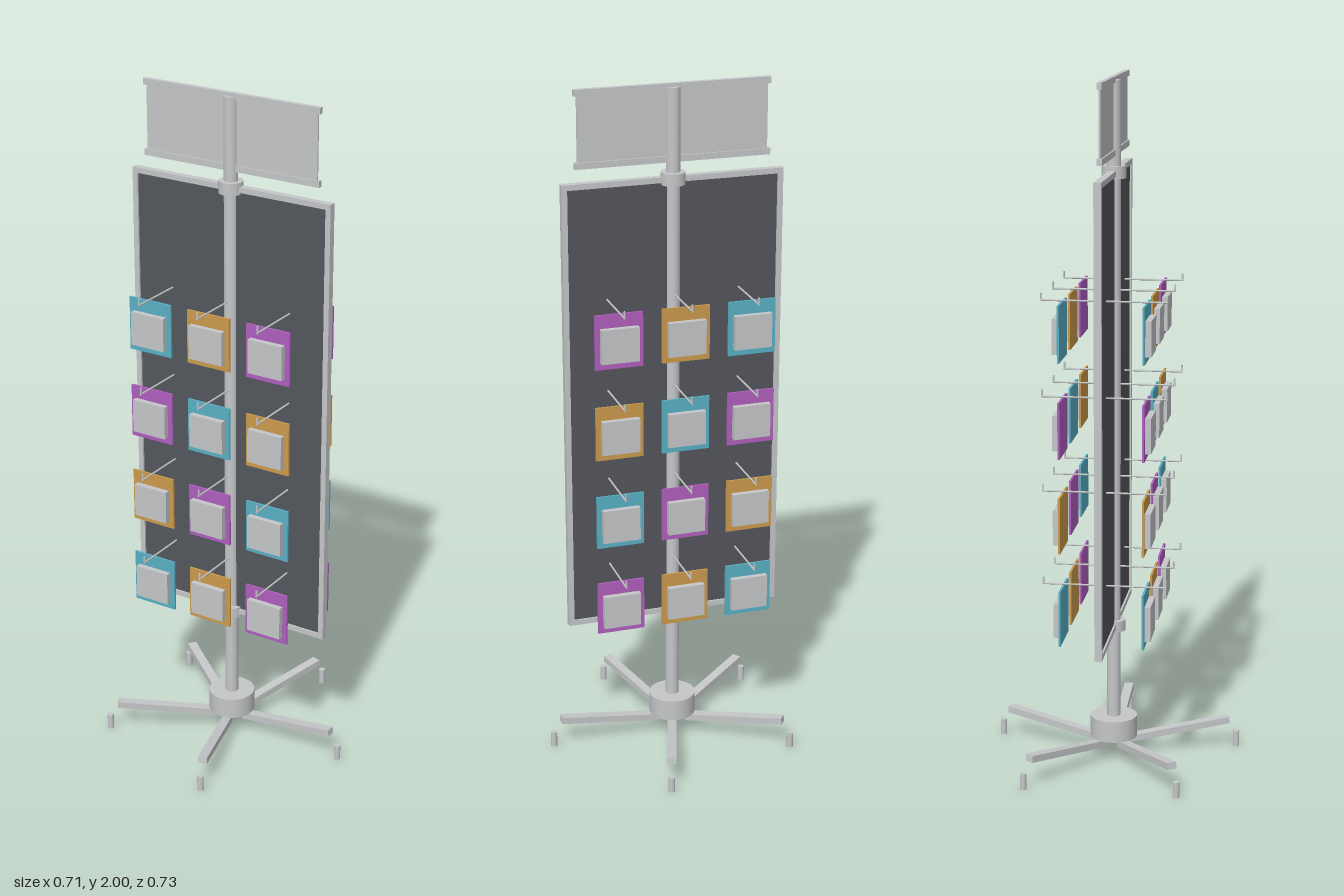
import * as THREE from 'three';

const POLE_X = -0.03;

function material(name, color) {
  const m = new THREE.MeshStandardMaterial({ color });
  m.name = name;
  return m;
}

export function createModel() {
  const root = new THREE.Group();
  root.name = 'displayStand';
  const metal = material('light grey metal', 0xc4c6c8);
  const dark = material('charcoal board', 0x53565d);
  const cardMats = [
    material('teal card', 0x58b0c4),
    material('orange card', 0xcb9a4c),
    material('purple card', 0xb05fbe),
  ];

  const add = (parent, name, geo, mat, x = 0, y = 0, z = 0) => {
    const mesh = new THREE.Mesh(geo, mat);
    mesh.name = name;
    mesh.position.set(x, y, z);
    parent.add(mesh);
    return mesh;
  };
  const box = (w, h, d) => new THREE.BoxGeometry(w, h, d);
  // upright cylinder between two heights
  const post = (parent, name, r, y0, y1, x = 0, z = 0) =>
    add(parent, name, new THREE.CylinderGeometry(r, r, y1 - y0, 32), metal, x, (y0 + y1) / 2, z);

  // everything is laid out around the pole axis
  const stand = new THREE.Group();
  stand.name = 'stand';
  stand.position.x = POLE_X;
  root.add(stand);

  // pole, collars and base hub
  post(stand, 'pole', 0.02, 0.06, 1.99);
  post(stand, 'upperCollar', 0.035, 1.717, 1.752);
  post(stand, 'lowerCollar', 0.035, 0.39, 0.422);
  post(stand, 'hub', 0.069, 0.06, 0.124);

  // five rising legs, each with a separate foot beyond its tip
  const r0 = 0.045, r1 = 0.35, yIn = 0.047, yOut = 0.086;
  for (let i = 0; i < 5; i++) {
    const arm = new THREE.Group();
    arm.name = 'legArm' + (i + 1);
    arm.rotation.y = (i * Math.PI * 2) / 5;
    stand.add(arm);
    const leg = add(arm, 'leg', box(Math.hypot(r1 - r0, yOut - yIn), 0.02, 0.028), metal,
      (r0 + r1) / 2, (yIn + yOut) / 2, 0);
    leg.rotation.z = Math.atan2(yOut - yIn, r1 - r0);
    post(arm, 'foot', 0.0095, 0, 0.047, 0.374);
  }

  // framed board
  const W = 0.645, yB = 0.4, yT = 1.74, F = 0.016, D = 0.021;
  const midY = (yB + yT) / 2, H = yT - yB;
  add(stand, 'board', box(W - 2 * F, H - 2 * F, 0.01), dark, 0, midY, 0);
  for (const s of [-1, 1]) {
    add(stand, 'frameSide', box(F, H, D), metal, s * (W - F) / 2, midY, 0);
    add(stand, 'frameRail', box(W - 2 * F, F, D), metal, 0, midY + s * (H - F) / 2, 0);
  }

  // header sign with two rails
  add(stand, 'signPanel', box(0.55, 0.21, 0.005), metal, 0, 1.89, 0);
  for (const y of [1.789, 1.991]) add(stand, 'signRail', box(0.566, 0.018, 0.014), metal, 0, y, 0);

  // hooks run through the board and carry a card and a pack on each face
  const HOOK_R = 0.0027;
  for (let row = 0; row < 4; row++) {
    for (let col = 0; col < 3; col++) {
      const unit = new THREE.Group();
      unit.name = `hookUnit${row + 1}${col + 1}`;
      unit.position.set((col - 1) * 0.195, 1.4 - row * 0.272, 0);
      stand.add(unit);
      const rod = add(unit, 'hookRod', new THREE.CylinderGeometry(HOOK_R, HOOK_R, 0.355, 8), metal);
      rod.rotation.x = Math.PI / 2;
      const cardMat = cardMats[(col - row + 3) % 3];
      for (const s of [-1, 1]) {
        post(unit, 'hookTip', HOOK_R, -0.002, 0.02, 0, s * 0.175);
        add(unit, 'card', box(0.14, 0.16, 0.006), cardMat, 0, -0.084, s * 0.118);
        add(unit, 'pack', box(0.11, 0.1, 0.017), metal, 0, -0.093, s * 0.1295);
      }
    }
  }
  return root;
}
